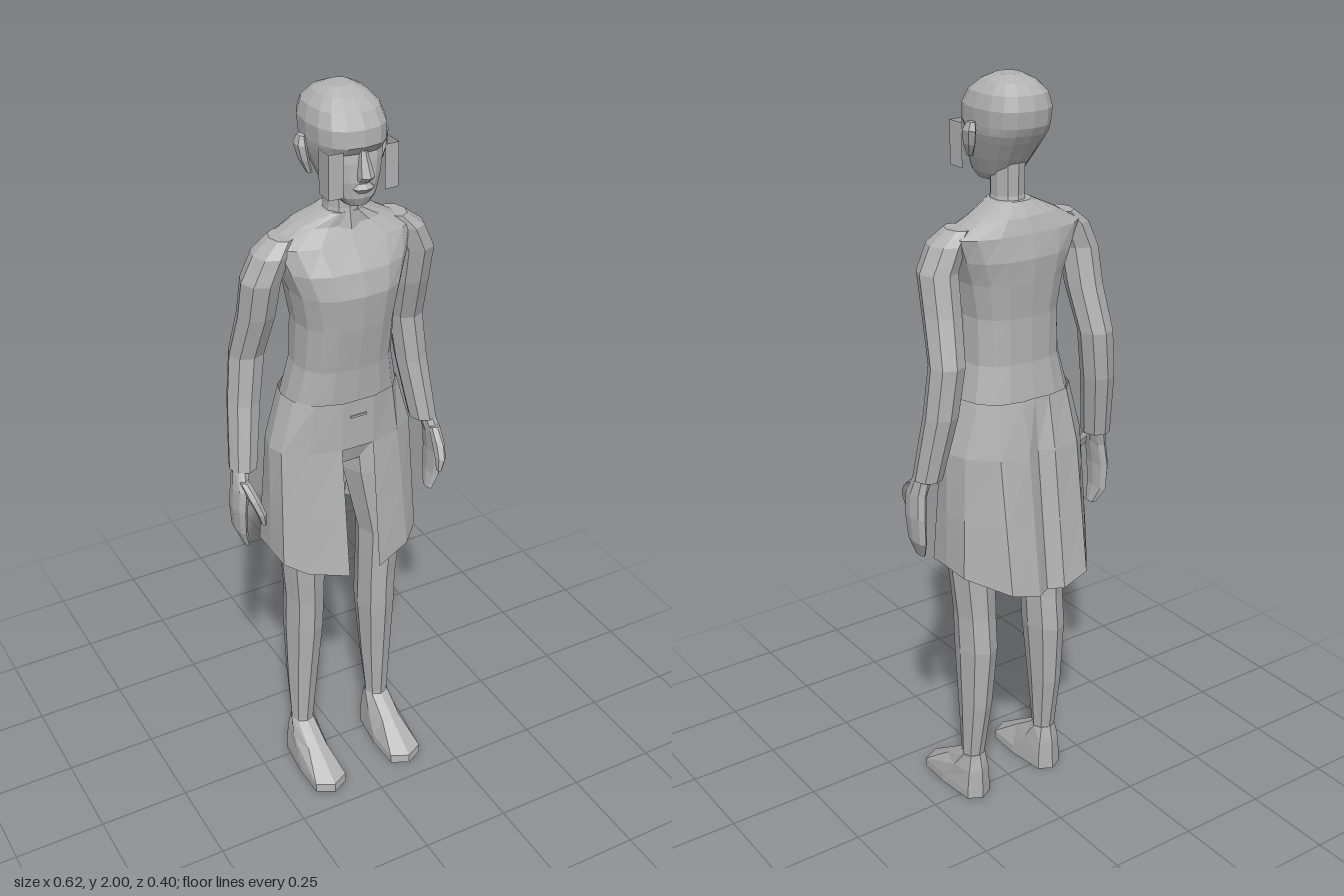
import * as THREE from 'three';

const grey = new THREE.MeshStandardMaterial({ color: 0xb2b2b2, side: THREE.DoubleSide });
grey.name = 'plain grey';

// Cross-section [y, centre x, front z, back z, half width] as a closed ring of points
function ring([y, cx, zf, zb, rx], sides, power = 1) {
  const pts = [];
  const bend = v => Math.sign(v) * Math.pow(Math.abs(v), power);
  for (let i = 0; i < sides; i++) {
    const a = (i / sides) * Math.PI * 2;
    pts.push([cx + rx * bend(Math.sin(a)), y, (zf + zb) / 2 + (zf - zb) / 2 * bend(Math.cos(a))]);
  }
  return pts;
}

// Faceted skin over rings listed from bottom to top; mirror = -1 builds the other side
function loft(rings, { closed = true, caps = true, mirror = 1 } = {}) {
  const pos = [];
  const tri = (a, b, c) => {
    for (const p of mirror < 0 ? [a, c, b] : [a, b, c]) pos.push(p[0] * mirror, p[1], p[2]);
  };
  const n = rings[0].length;
  for (let r = 0; r < rings.length - 1; r++) {
    const lo = rings[r], hi = rings[r + 1];
    for (let i = 0; i < (closed ? n : n - 1); i++) {
      const j = (i + 1) % n;
      tri(lo[i], lo[j], hi[j]);
      tri(lo[i], hi[j], hi[i]);
    }
  }
  if (caps) {
    const bottom = rings[0], top = rings[rings.length - 1];
    for (let i = 1; i < n - 1; i++) {
      tri(bottom[0], bottom[i + 1], bottom[i]);
      tri(top[0], top[i], top[i + 1]);
    }
  }
  const g = new THREE.BufferGeometry();
  g.setAttribute('position', new THREE.Float32BufferAttribute(pos, 3));
  g.computeVertexNormals();
  return g;
}

export function createModel() {
  const model = new THREE.Group();
  model.name = 'figure';
  const add = (name, geometry, parent = model) => {
    const m = new THREE.Mesh(geometry, grey);
    m.name = name;
    parent.add(m);
    return m;
  };
  const body = (name, specs, sides, power, mirror = 1, parent = model) =>
    add(name, loft(specs.map(s => ring(s, sides, power)), { mirror }), parent);

  // Torso, from the pelvis to the base of the neck
  body('torso', [
    [1.00, 0, .05, -.08, .11], [1.10, 0, .08, -.10, .15], [1.20, 0, .092, -.115, .152],
    [1.30, 0, .10, -.10, .130], [1.42, 0, .12, -.10, .128], [1.51, 0, .13, -.108, .145],
    [1.57, 0, .115, -.112, .168], [1.63, 0, .075, -.10, .19], [1.668, 0, .05, -.085, .12],
    [1.70, 0, .05, -.055, .052]], 16, .8);
  body('neck', [[1.66, 0, .06, -.055, .05], [1.71, 0, .05, -.042, .042], [1.79, 0, .05, -.045, .043]], 10, 1);

  // Head with nose and lips
  const head = new THREE.Group();
  head.name = 'head';
  model.add(head);
  body('skull', [
    [1.738, 0, .108, .03, .03], [1.76, 0, .118, -.02, .052], [1.80, 0, .12, -.05, .068],
    [1.845, 0, .115, -.082, .083], [1.865, 0, .110, -.095, .089], [1.885, 0, .125, -.105, .092],
    [1.925, 0, .122, -.11, .094], [1.96, 0, .10, -.10, .083], [1.985, 0, .065, -.072, .06],
    [2.00, 0, .03, -.035, .03]], 16, .8, 1, head);
  body('nose', [[1.805, 0, .135, .10, .02], [1.817, 0, .15, .10, .02], [1.875, 0, .122, .10, .009]], 6, 1, 1, head);
  body('lips', [[1.773, 0, .122, .09, .02], [1.785, 0, .133, .09, .03], [1.797, 0, .125, .09, .02]], 8, 1, 1, head);

  // Long coat skirt, closed at the hips and slit at the front; half outline runs front to back
  const full = half => [...half, ...half.slice(0, -1).reverse().map(([x, y, z]) => [-x, y, z])];
  const hips = [[.045, .099], [.11, .078], [.148, .03], [.158, -.02], [.142, -.07], [.105, -.108], [.04, -.122], [0, -.118]]
    .map(([x, z]) => [x, 1.21, z]);
  const slitTop = [[.045, .097], [.13, .075], [.188, .035], [.2, -.01], [.182, -.07], [.12, -.137], [.04, -.15], [0, -.132]]
    .map(([x, z]) => [x, 1.07, z]);
  const hem = [[.045, .70, .14], [.15, .72, .105], [.2, .74, .06], [.203, .745, -.01], [.2, .74, -.085],
    [.12, .71, -.19], [.04, .69, -.2], [0, .69, -.178]];
  const middle = slitTop.map((p, i) => p.map((v, k) => (v + hem[i][k]) / 2));
  add('skirtTop', loft([full(slitTop), full(hips)], { caps: false }));
  add('skirt', loft([full(hem), full(middle), full(slitTop)], { closed: false, caps: false }));
  add('waistSeam', new THREE.BoxGeometry(.045, .006, .008)).position.set(0, 1.165, .098);

  for (const [side, s] of [['left', 1], ['right', -1]]) {
    // Arm, bent slightly backward at the elbow
    body(side + 'Arm', [
      [1.025, .268, .015, -.07, .037], [1.20, .245, -.012, -.105, .044], [1.33, .229, -.018, -.112, .047],
      [1.45, .217, .025, -.08, .049], [1.55, .213, .05, -.06, .051], [1.615, .185, .052, -.058, .047],
      [1.65, .155, .035, -.05, .03]], 8, 1, s);

    // Hand with thumb
    body(side + 'Hand', [
      [.803, .278, .018, -.022, .008], [.85, .291, .03, -.05, .014], [.92, .294, .037, -.052, .017],
      [.98, .288, .035, -.045, .02], [1.05, .275, -.005, -.05, .022]], 8, 1, s);
    body(side + 'Thumb', [
      [.905, .262, .088, .068, .007], [.94, .268, .094, .05, .012], [.97, .276, .075, .02, .014],
      [1.005, .284, .03, -.01, .014]], 6, 1, s);

    // Leg
    body(side + 'Leg', [
      [.09, .122, .035, -.035, .035], [.14, .122, .03, -.034, .033], [.30, .118, .045, -.062, .043],
      [.48, .113, .063, -.078, .052], [.58, .112, .066, -.068, .053], [.74, .118, .075, -.065, .062],
      [.95, .096, .075, -.08, .086], [1.07, .085, .065, -.08, .08]], 8, 1, s);

    // Foot, sloping from ankle to toe
    const sole = [[.122, .2], [.17, .175], [.172, .08], [.16, -.03], [.122, -.05], [.086, -.03], [.072, .08], [.075, .175]];
    const instep = [[.122, .105], [.15, .09], [.165, .03], [.155, -.03], [.122, -.047], [.09, -.03], [.08, .03], [.094, .09]];
    add(side + 'Foot', loft([
      sole.map(([x, z]) => [x, 0, z]), sole.map(([x, z]) => [x, .025, z * .985]),
      instep.map(([x, z]) => [x, .085, z]), ring([.135, .122, .028, -.036, .034], 8)], { mirror: s }));

    // Ear
    body(side + 'Ear', [
      [1.81, .094, .035, .015, .007], [1.84, .103, .038, -.008, .011], [1.875, .108, .034, -.02, .013],
      [1.895, .104, .02, -.012, .008]], 6, 1, s, head);

    // Bent plate beside the cheek
    const plate = y => [[.09, y, .065], [.092, y, .116], [.055, y, .118]];
    add(side + 'CheekPlate', loft([plate(1.77), plate(1.88)], { closed: false, caps: false, mirror: -s }), head);
  }
  return model;
}
